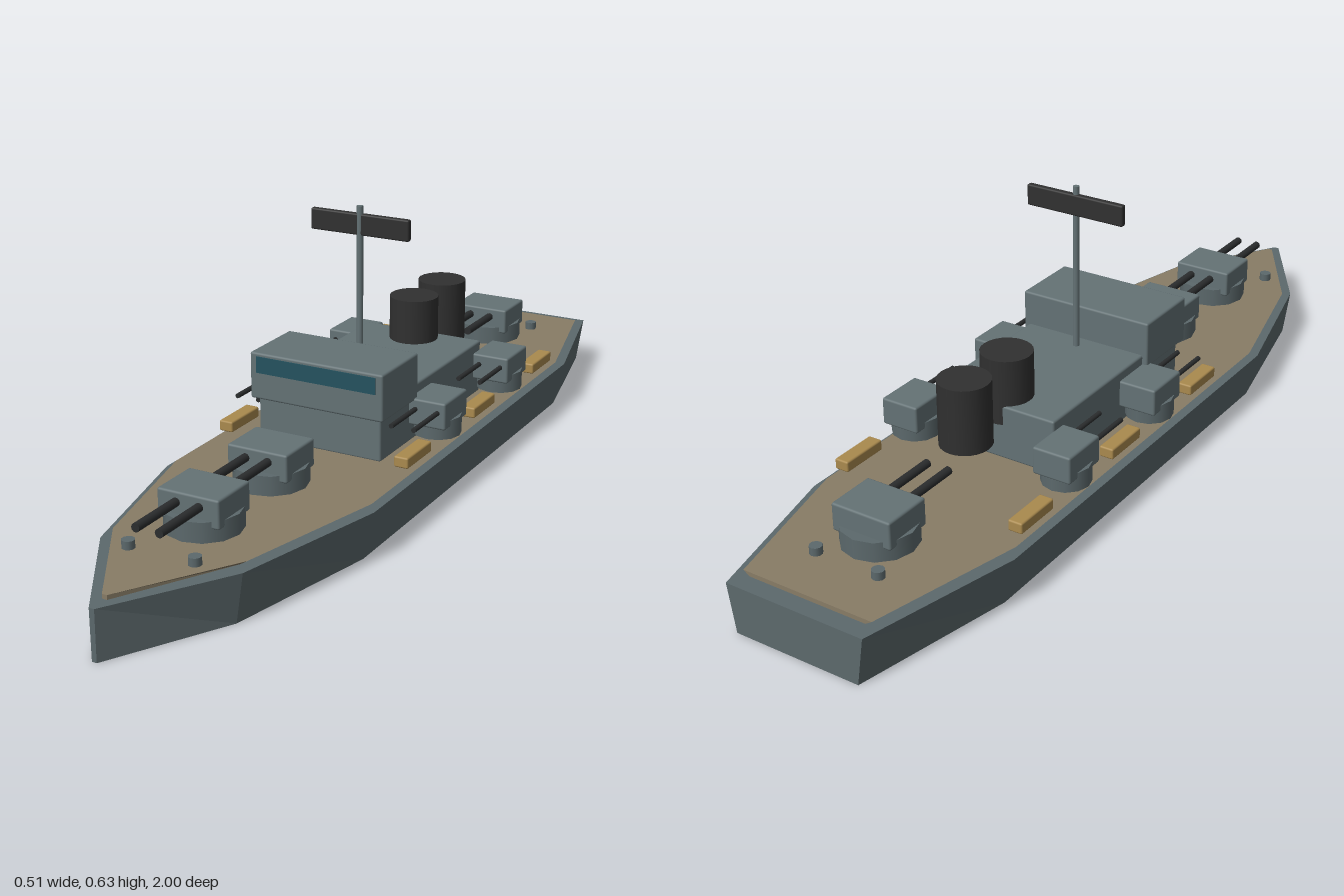
import * as THREE from 'three';
import { RoundedBoxGeometry } from 'three/addons/geometries/RoundedBoxGeometry.js';

const paint = (name, color) => {
  const m = new THREE.MeshStandardMaterial({ color });
  m.name = name;
  return m;
};

export function createModel() {
  const hullGrey = paint('hull grey', 0x5c696c);
  const grey = paint('superstructure grey', 0x647275);
  const tan = paint('deck tan', 0x887c66);
  const black = paint('funnel black', 0x303030);
  const gunmetal = paint('gun metal', 0x2b2d2e);
  const wood = paint('boat wood', 0xaa8a4e);
  const glass = paint('bridge glass', 0x24525f);

  const ship = new THREE.Group();
  ship.name = 'warship';

  const add = (parent, name, geometry, material, x, y, z) => {
    const mesh = new THREE.Mesh(geometry, material);
    mesh.name = name;
    mesh.position.set(x, y, z);
    parent.add(mesh);
    return mesh;
  };
  // Rounded box given by its size and the height of its underside
  const box = (parent, name, [w, h, d], material, x, y, z, r = 0.005) =>
    add(parent, name, new RoundedBoxGeometry(w, h, d, 2, r), material, x, y + h / 2, z);
  const drum = (parent, name, r, h, sides, material, x, y, z) =>
    add(parent, name, new THREE.CylinderGeometry(r, r, h, sides), material, x, y + h / 2, z);

  // Plan outline, right half from bow to stern, mirrored for the other half
  const half = [[0.006, 1], [0.165, 0.75], [0.254, 0.39], [0.254, -0.64], [0.166, -1]];
  const slab = (sx, sz, height) => {
    const outline = [
      ...half.map(([x, z]) => new THREE.Vector2(x * sx, -z * sz)),
      ...[...half].reverse().map(([x, z]) => new THREE.Vector2(-x * sx, -z * sz)),
    ];
    const g = new THREE.ExtrudeGeometry(new THREE.Shape(outline), { depth: height, bevelEnabled: false });
    g.rotateX(-Math.PI / 2);
    // Sides lean inward toward the bottom
    const p = g.attributes.position;
    for (let i = 0; i < p.count; i++) if (p.getY(i) < height / 2) p.setX(i, p.getX(i) * 0.9);
    g.computeVertexNormals();
    return g;
  };
  add(ship, 'hull', slab(1, 1, 0.11), hullGrey, 0, 0, 0);
  add(ship, 'deck', slab(0.945, 0.96, 0.01), tan, 0, 0.11, 0);

  // Superstructure and bridge
  box(ship, 'superstructure', [0.305, 0.127, 0.515], grey, 0, 0.118, -0.088);
  box(ship, 'bridge', [0.33, 0.108, 0.17], grey, 0, 0.217, 0.1);
  add(ship, 'bridgeWindow', new THREE.BoxGeometry(0.297, 0.038, 0.006), glass, 0, 0.298, 0.184);

  // Mast with radar panel
  drum(ship, 'mast', 0.0075, 0.39, 10, grey, 0, 0.24, -0.02);
  box(ship, 'radarPanel', [0.245, 0.049, 0.015], black, 0, 0.563, -0.022, 0.004);

  // Funnels
  for (const z of [-0.293, -0.446]) drum(ship, 'funnel', 0.058, 0.15, 24, black, 0, 0.2, z);

  // Twin gun turret facing the bow
  const turret = (name, x, y, z, o) => {
    const g = new THREE.Group();
    g.name = name;
    g.position.set(x, y, z);
    drum(g, 'turretBase', o.baseR, 0.044, 12, hullGrey, 0, 0, 0);
    box(g, 'turretHouse', [o.width, 0.063, 0.115], grey, 0, o.houseY, 0);
    for (const s of [-1, 1]) {
      const barrel = add(g, 'gunBarrel', new THREE.CylinderGeometry(o.barrelR, o.barrelR, o.reach, 12),
        gunmetal, s * 0.027, o.barrelY, o.reach / 2);
      barrel.rotation.x = Math.PI / 2;
    }
    ship.add(g);
  };
  const main = { baseR: 0.082, width: 0.144, houseY: 0.028, barrelR: 0.0095, barrelY: 0.069, reach: 0.193 };
  const small = { baseR: 0.055, width: 0.092, houseY: 0.028, barrelR: 0.0057, barrelY: 0.067, reach: 0.174 };
  for (const z of [0.628, 0.372, -0.737]) turret('mainTurret', 0, 0.121, z, main);

  // Paired details on both sides
  for (const s of [-1, 1]) {
    for (const z of [-0.024, -0.364]) turret('sideTurret', s * 0.195, 0.132, z, small);
    for (const z of [0.148, -0.19, -0.532])
      box(ship, 'lifeboat', [0.034, 0.025, 0.115], wood, s * 0.22, 0.132, z, 0.004);
    for (const z of [0.778, -0.84]) drum(ship, 'bollard', 0.014, 0.019, 10, hullGrey, s * 0.077, 0.119, z);
  }
  return ship;
}
